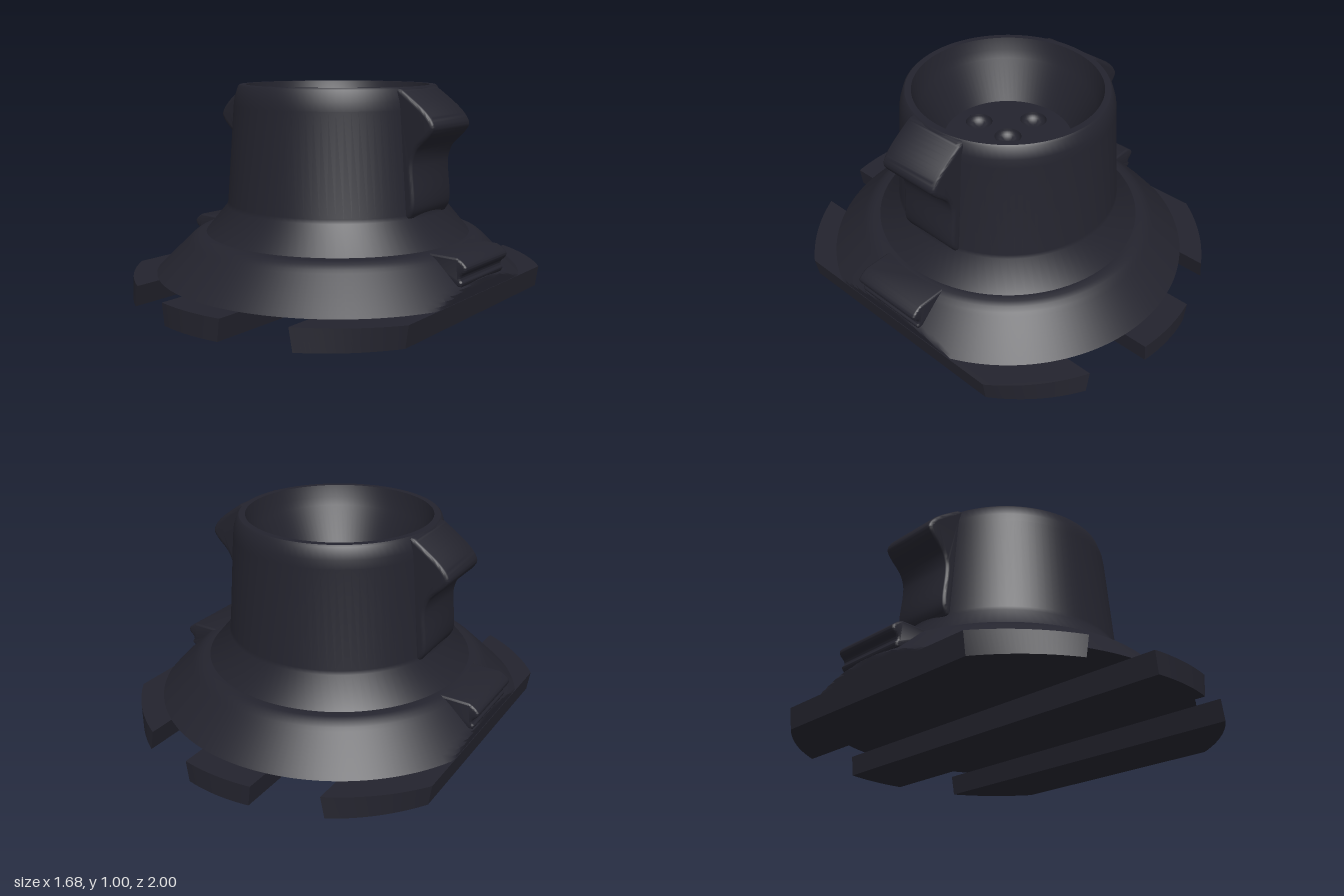
import * as THREE from 'three';
import { toCreasedNormals } from 'three/addons/utils/BufferGeometryUtils.js';

const plastic = new THREE.MeshStandardMaterial({ color: 0x23232d });
plastic.name = 'dark plastic';

const V = (x, y) => new THREE.Vector2(x, y);

function part(name, geometry, crease = 0.5) {
  const mesh = new THREE.Mesh(toCreasedNormals(geometry, crease), plastic);
  mesh.name = name;
  return mesh;
}

const lathe = (pts, segments = 96) => new THREE.LatheGeometry(pts.map(([x, y]) => V(x, y)), segments);

// Move every vertex of a geometry by a rule
function warp(geometry, rule) {
  const p = geometry.attributes.position;
  for (let i = 0; i < p.count; i++) {
    const v = new THREE.Vector3().fromBufferAttribute(p, i);
    rule(v);
    p.setXYZ(i, v.x, v.y, v.z);
  }
  return geometry;
}

// Foot rail along z with ends cut to a unit circle and drafted sides
function railGeometry(x0, x1, bottom0, bottom1) {
  const a0 = Math.acos(x0), a1 = Math.acos(x1);
  const shape = new THREE.Shape();
  shape.absarc(0, 0, 1, a1, a0, false);
  shape.lineTo(x0, -Math.sin(a0));
  shape.absarc(0, 0, 1, -a0, -a1, false);
  shape.closePath();
  const g = new THREE.ExtrudeGeometry(shape, { depth: 0.1, bevelEnabled: false, curveSegments: 12 });
  g.rotateX(-Math.PI / 2);
  return warp(g, (v) => {
    if (v.y < 0.05) v.x = bottom0 + (v.x - x0) * (bottom1 - bottom0) / (x1 - x0);
  });
}

// Side lug: smooth outer edge in xy, extruded along z with soft edges
function lugGeometry(inner, outer, halfWidth, bevel) {
  const curve = new THREE.CatmullRomCurve3(
    outer.map(([x, y]) => new THREE.Vector3(x, y, 0)), false, 'centripetal');
  const edge = curve.getPoints(48).map((p) => V(p.x, p.y));
  const shape = new THREE.Shape([...inner.map(([x, y]) => V(x, y)), ...edge]);
  const g = new THREE.ExtrudeGeometry(shape, {
    depth: 2 * (halfWidth - bevel), bevelThickness: bevel, bevelSize: bevel,
    bevelOffset: -bevel, bevelSegments: 4,
  });
  return g.translate(0, 0, -(halfWidth - bevel));
}

export function createModel() {
  const model = new THREE.Group();

  // Foot rails
  model.add(part('centreRail', railGeometry(-0.175, 0.175, -0.162, 0.162)));
  const sideRail = part('sideRail', railGeometry(0.46, 0.815, 0.48, 0.8));
  model.add(sideRail);
  const otherRail = sideRail.clone();
  otherRail.rotation.y = Math.PI;
  model.add(otherRail);

  // Conical flange with two flat sides
  const flange = [[0, 0.1], [0.89, 0.1]];
  for (let i = 1; i <= 12; i++) flange.push([0.89 - 0.165 * i / 12, 0.1 + 0.16 * i / 12]);
  flange.push([0.705, 0.276], [0.68, 0.287], [0.65, 0.29], [0.5, 0.29]);
  model.add(part('flange', warp(lathe(flange, 160), (v) => {
    const limit = 0.8 + 0.02 * Math.min(v.y / 0.16, 1);
    v.x = THREE.MathUtils.clamp(v.x, -limit, limit);
  })));

  // Tower with open cup
  model.add(part('tower', lathe([
    [0.65, 0.288], [0.545, 0.415], [0.54, 0.435], [0.505, 0.9], [0.5, 0.94],
    [0.483, 0.992], [0.475, 1], [0.445, 1], [0.43, 0.945], [0.41, 0.9],
    [0.31, 0.71],
  ])));

  // Cup floor with five round dimples
  const dimpleRadius = 0.065;
  const spots = [[0, 0], [0.19, 0], [-0.19, 0], [0, 0.19], [0, -0.19]];
  const floor = new THREE.Shape().absarc(0, 0, 0.311, 0, Math.PI * 2, false);
  for (const [x, z] of spots) {
    floor.holes.push(new THREE.Path().absarc(x, z, dimpleRadius, 0, Math.PI * 2, true));
  }
  const floorMesh = part('cupFloor', new THREE.ShapeGeometry(floor, 32).rotateX(-Math.PI / 2));
  floorMesh.position.y = 0.71;
  model.add(floorMesh);
  const bowl = [];
  for (let i = 0; i <= 8; i++) {
    const a = i / 8 * Math.PI / 2;
    bowl.push([dimpleRadius * Math.cos(a), -0.05 * Math.sin(a)]);
  }
  const bowlGeometry = lathe(bowl, 32);
  for (const [x, z] of spots) {
    const dimple = part('dimple', bowlGeometry, 0.8);
    dimple.position.set(x, 0.71, z);
    model.add(dimple);
  }

  // Upper grip lugs and lower clips on both sides
  const grip = part('gripLug', lugGeometry([[0.45, 0.4], [0.45, 0.997]], [
    [0.475, 0.995], [0.505, 0.975], [0.6, 0.905], [0.64, 0.86], [0.65, 0.83],
    [0.63, 0.795], [0.565, 0.73], [0.545, 0.68], [0.543, 0.63], [0.555, 0.5],
    [0.55, 0.455], [0.53, 0.42],
  ], 0.16, 0.02), 0.7);
  const clip = part('sideClip', lugGeometry([[0.6, 0.16], [0.6, 0.288]], [
    [0.79, 0.288], [0.815, 0.275], [0.84, 0.25], [0.835, 0.23], [0.815, 0.21],
    [0.812, 0.195], [0.822, 0.18], [0.815, 0.162],
  ], 0.188, 0.012), 0.7);
  for (const angle of [0, Math.PI]) {
    const side = new THREE.Group();
    side.name = angle ? 'rightFittings' : 'leftFittings';
    side.add(grip.clone(), clip.clone());
    side.rotation.y = angle;
    model.add(side);
  }
  return model;
}
